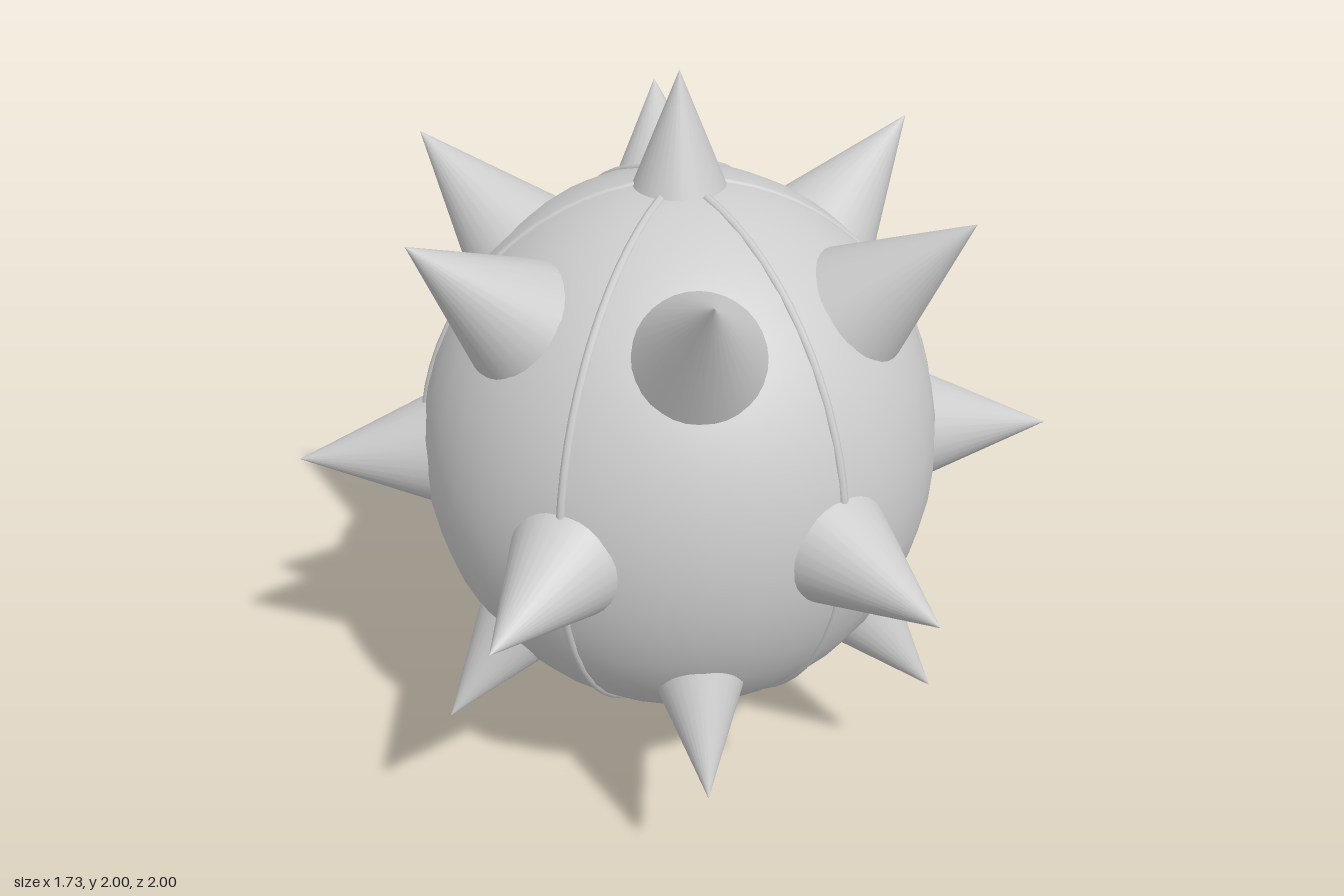
import * as THREE from 'three';

const CENTER_Y = 1;
const RADIUS = 0.675;
const STRETCH = 1.08; // the ball is slightly taller than wide

export function createModel() {
  const model = new THREE.Group();
  model.name = 'spikedBall';
  const metal = new THREE.MeshStandardMaterial({ color: 0xcccccc });
  metal.name = 'light grey metal';

  // Egg-like ball
  const bodyGeometry = new THREE.SphereGeometry(RADIUS, 36, 24);
  bodyGeometry.scale(1, STRETCH, 1);
  const body = new THREE.Mesh(bodyGeometry, metal);
  body.name = 'body';
  body.position.y = CENTER_Y;
  model.add(body);

  // Three full rings make six raised seams from pole to pole
  for (let i = 0; i < 3; i++) {
    const ring = new THREE.TorusGeometry(RADIUS - 0.005, 0.012, 8, 72);
    ring.rotateY(Math.PI / 2 + (i * Math.PI) / 3);
    ring.scale(1, STRETCH, 1);
    const seam = new THREE.Mesh(ring, metal);
    seam.name = 'seam' + (i + 1);
    seam.position.y = CENTER_Y;
    model.add(seam);
  }

  // A cone from a foot point on the ball to its tip, sunk a little into the ball
  const up = new THREE.Vector3(0, 1, 0);
  const sink = 0.06;
  function addSpike(parent, name, angle, foot, tip, slope) {
    const place = ([r, y]) =>
      new THREE.Vector3(Math.sin(angle) * r, CENTER_Y + y, Math.cos(angle) * r);
    const end = place(tip);
    const axis = end.clone().sub(place(foot));
    const length = axis.length() + sink;
    axis.normalize();
    const spike = new THREE.Mesh(new THREE.ConeGeometry(length * slope, length, 32), metal);
    spike.name = name;
    spike.quaternion.setFromUnitVectors(up, axis);
    spike.position.copy(end).addScaledVector(axis, -length / 2);
    parent.add(spike);
  }

  // Rings of six spikes; foot and tip are [distance from axis, height from centre]
  const rings = [
    { name: 'upperSpike', turn: Math.PI / 6, foot: [0.495, 0.51], tip: [0.74, 0.74], slope: 0.425 },
    { name: 'middleSpike', turn: 0, foot: [0.66, 0.002], tip: [1, -0.012], slope: 0.415 },
    { name: 'lowerSpike', turn: Math.PI / 6, foot: [0.54, -0.412], tip: [0.74, -0.6], slope: 0.395 },
  ];
  for (const { name, turn, foot, tip, slope } of rings) {
    const group = new THREE.Group();
    group.name = name + 's';
    for (let i = 0; i < 6; i++) {
      addSpike(group, name + (i + 1), turn + (i * Math.PI) / 3, foot, tip, slope);
    }
    model.add(group);
  }

  // Pole spikes
  addSpike(model, 'topSpike', 0, [0, 0.72], [0, 1], 0.405);
  addSpike(model, 'bottomSpike', 0, [0, -0.72], [0, -1], 0.405);

  return model;
}
